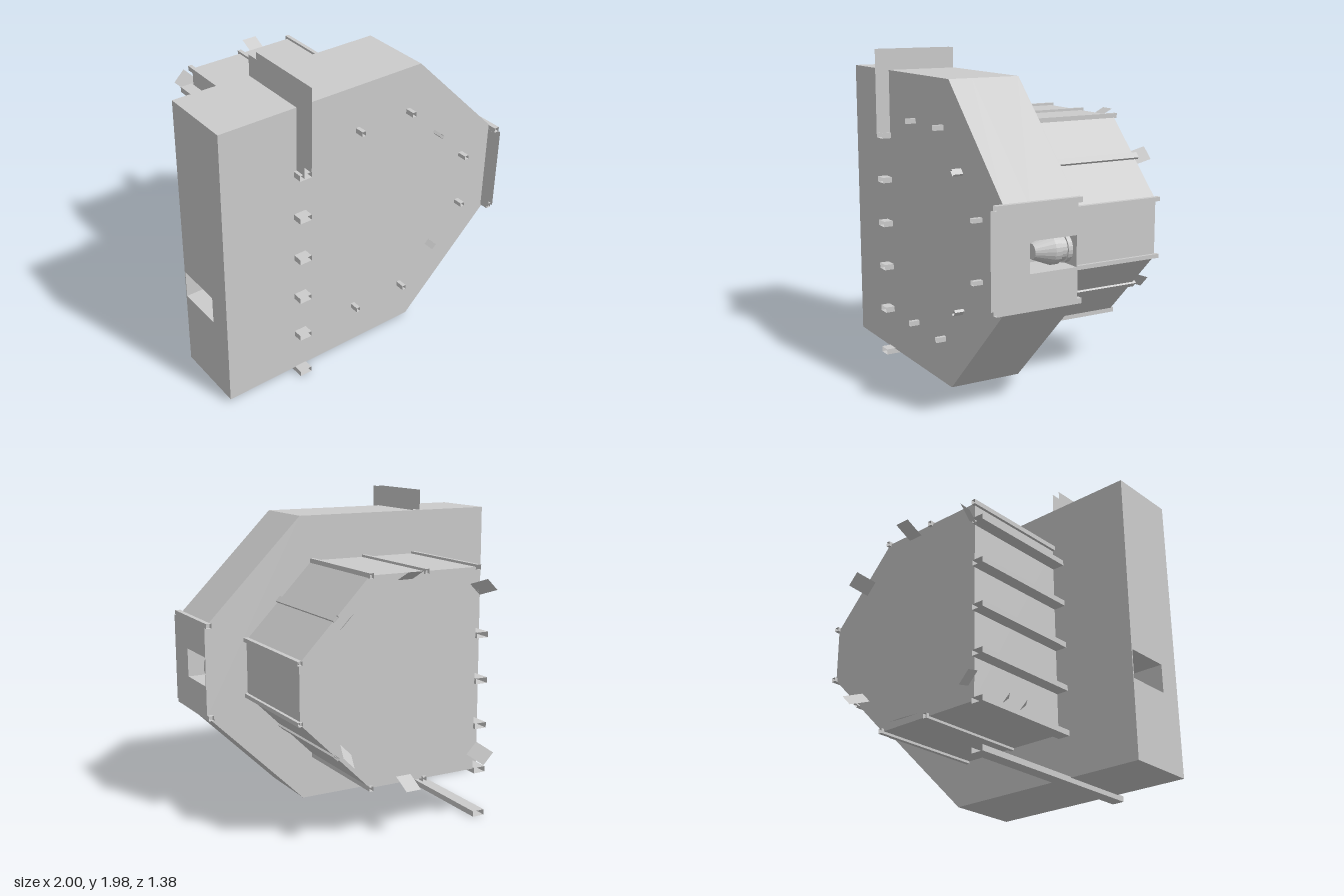
import * as THREE from 'three';

const grey = new THREE.MeshStandardMaterial({ color: 0xcccccc, flatShading: true, side: THREE.DoubleSide });
const MID = 0.94; // height of the horizontal mirror plane of the rear drum

export function createModel() {
  const model = new THREE.Group();

  const add = (name, geometry, x = 0, y = 0, z = 0) => {
    const mesh = new THREE.Mesh(geometry, grey);
    mesh.name = name;
    mesh.position.set(x, y, z);
    model.add(mesh);
    return mesh;
  };

  // Prism along z from an outline of [x, y] points
  const prism = (name, points, z0, z1) => {
    const shape = new THREE.Shape(points.map(([x, y]) => new THREE.Vector2(x, y)));
    const geometry = new THREE.ExtrudeGeometry(shape, { depth: z1 - z0, bevelEnabled: false });
    return add(name, geometry, 0, 0, z0);
  };

  // Hollow rectangular rail along z, open at both ends
  const rail = (name, x, y, w, h, z0, z1, turn = 0) => {
    const geometry = new THREE.BoxGeometry(w, h, z1 - z0);
    geometry.setIndex(Array.from(geometry.index.array.slice(0, 24)));
    geometry.clearGroups();
    add(name, geometry, x, y, (z0 + z1) / 2).rotation.z = turn;
  };

  // Thin sheet from corners listed around its edge
  const sheet = (name, corners) => {
    const geometry = new THREE.BufferGeometry();
    geometry.setAttribute('position', new THREE.Float32BufferAttribute(corners.flat(), 3));
    geometry.setIndex(corners.length === 4 ? [0, 1, 2, 0, 2, 3] : [0, 1, 2]);
    geometry.computeVertexNormals();
    add(name, geometry);
  };

  // Front housing: full layers around one with a side pocket at each end
  const hull = [[-1, 0.03], [0.36, 0.03], [1, 0.66], [1, 1.21], [0.36, 1.85], [-1, 1.85]];
  const pocketed = [
    [-1, 0.03], [0.36, 0.03], [1, 0.66],
    [1, 0.85], [0.78, 0.85], [0.78, 1.03], [1, 1.03],
    [1, 1.21], [0.36, 1.85], [-1, 1.85],
    [-1, 0.7], [-0.8, 0.7], [-0.8, 0.52], [-1, 0.52],
  ];
  prism('housingBack', hull, 0.165, 0.172);
  prism('housingMiddle', pocketed, 0.172, 0.47);
  prism('housingFront', hull, 0.47, 0.62);

  // Tapered nozzle lying in the right-hand pocket
  const profile = [[0, 0.172], [0.085, 0.172], [0.085, 0.2], [0.075, 0.2], [0.075, 0.24],
    [0.088, 0.24], [0.088, 0.28], [0.045, 0.39], [0, 0.39]];
  const nozzle = new THREE.LatheGeometry(profile.map(([r, z]) => new THREE.Vector2(r, z)), 24);
  add('nozzle', nozzle, 0.88, MID, 0).rotation.x = Math.PI / 2;

  // Rear drum
  const drum = [[-0.45, 0.31], [0.28, 0.31], [0.73, 0.76], [0.73, 1.11], [0.28, 1.57], [-0.45, 1.57]];
  prism('drum', drum, -0.57, 0.166);

  // Slender rails round the drum, running right through to the front
  for (const side of [1, -1]) {
    const y = (up) => MID + side * up;
    rail('topRail', -0.09, y(0.63), 0.025, 0.03, -0.59, 0.68);
    rail('cornerRail', 0.28, y(0.63), 0.025, 0.03, -0.59, 0.68);
    rail('diagonalRail', 0.51, y(0.405), 0.04, 0.018, -0.59, 0.68, -side * Math.PI / 4);
    rail('sideRail', 0.735, y(0.175), 0.03, 0.025, -0.59, 0.68);
    rail('endFrameRail', 0.983, y(0.285), 0.034, 0.03, 0.135, 0.675);
  }
  rail('edgeRail', -0.455, 1.57, 0.025, 0.03, -0.59, 0.166);

  // Wide rails stacked on the flat side
  for (let i = 0; i < 6; i++) {
    rail('wideRail', -0.49, 0.0175 + i * 0.2845, 0.08, 0.035, -0.59, 0.68);
  }

  // Paired guide plates at the top and at the narrow end
  for (const x of [-0.51, -0.46]) {
    sheet('topGuidePlate', [[x, 1.44, 0.17], [x, 1.44, 0.69], [x, 1.98, 0.69], [x, 1.98, 0.17]]);
  }
  for (const x of [0.965, 1]) {
    sheet('endGuidePlate', [[x, 0.66, 0.62], [x, 0.66, 0.69], [x, 1.21, 0.69], [x, 1.21, 0.62]]);
  }

  // Splayed tabs on the back: centre of the root, then outward direction
  const tabs = [
    [0.05, 1.53, 0, 1],
    [0.44, 1.31, 0.707, 0.707],
    [-0.44, 1.435, -0.707, 0.707],
  ];
  for (const side of [1, -1]) {
    for (const [x, y, nx, ny] of tabs) {
      const corner = (across, out, z) => [
        x + nx * out - ny * across,
        MID + side * (y + ny * out + nx * across - MID),
        z,
      ];
      sheet('backTab', [corner(-0.05, 0, -0.57), corner(0.05, 0, -0.57),
        corner(0.05, 0.06, -0.69), corner(-0.05, 0.06, -0.69)]);
    }
    // Triangular gussets on the flat side
    for (const z of [-0.34, -0.19]) {
      const y = (up) => MID + side * up;
      sheet('gusset', [[-0.51, y(0.53), z], [-0.45, y(0.58), z], [-0.45, y(0.53), z + 0.06]]);
    }
  }

  return model;
}
